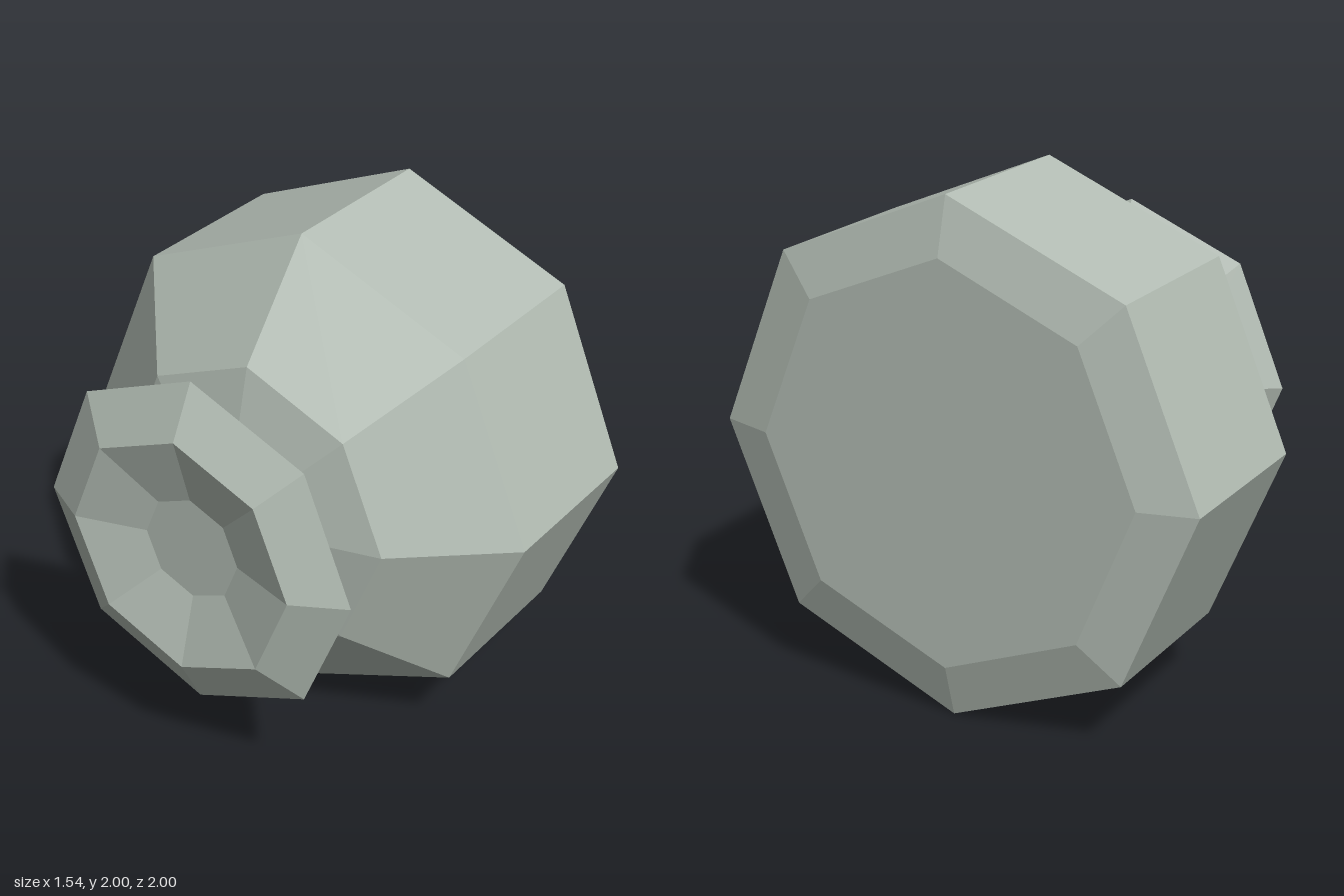
import * as THREE from 'three';

const SIDES = 8;

export function createModel() {
  const model = new THREE.Group();
  model.name = 'knob';

  const greyGreen = new THREE.MeshStandardMaterial({ color: 0xb3bdb4, flatShading: true });
  greyGreen.name = 'greyGreen';

  // Turns a profile of [radius, x] points around the x axis
  function turned(name, profile) {
    const points = profile.map(([r, x]) => new THREE.Vector2(r, x));
    const geometry = new THREE.LatheGeometry(points, SIDES);
    geometry.rotateZ(-Math.PI / 2);
    const mesh = new THREE.Mesh(geometry, greyGreen);
    mesh.name = name;
    mesh.position.y = 1;
    model.add(mesh);
  }

  // Flared foot with a shallow dished end, narrowing to the neck
  turned('flaredBase', [
    [0, -0.69], [0.21, -0.69], [0.49, -0.772], [0.69, -0.665], [0.305, -0.415],
  ]);

  // Wide grip with a sloped shoulder and a bevelled face
  turned('grip', [
    [0.305, -0.415], [0.6, -0.34], [1, 0], [1, 0.715], [0.785, 0.772], [0, 0.772],
  ]);

  return model;
}
